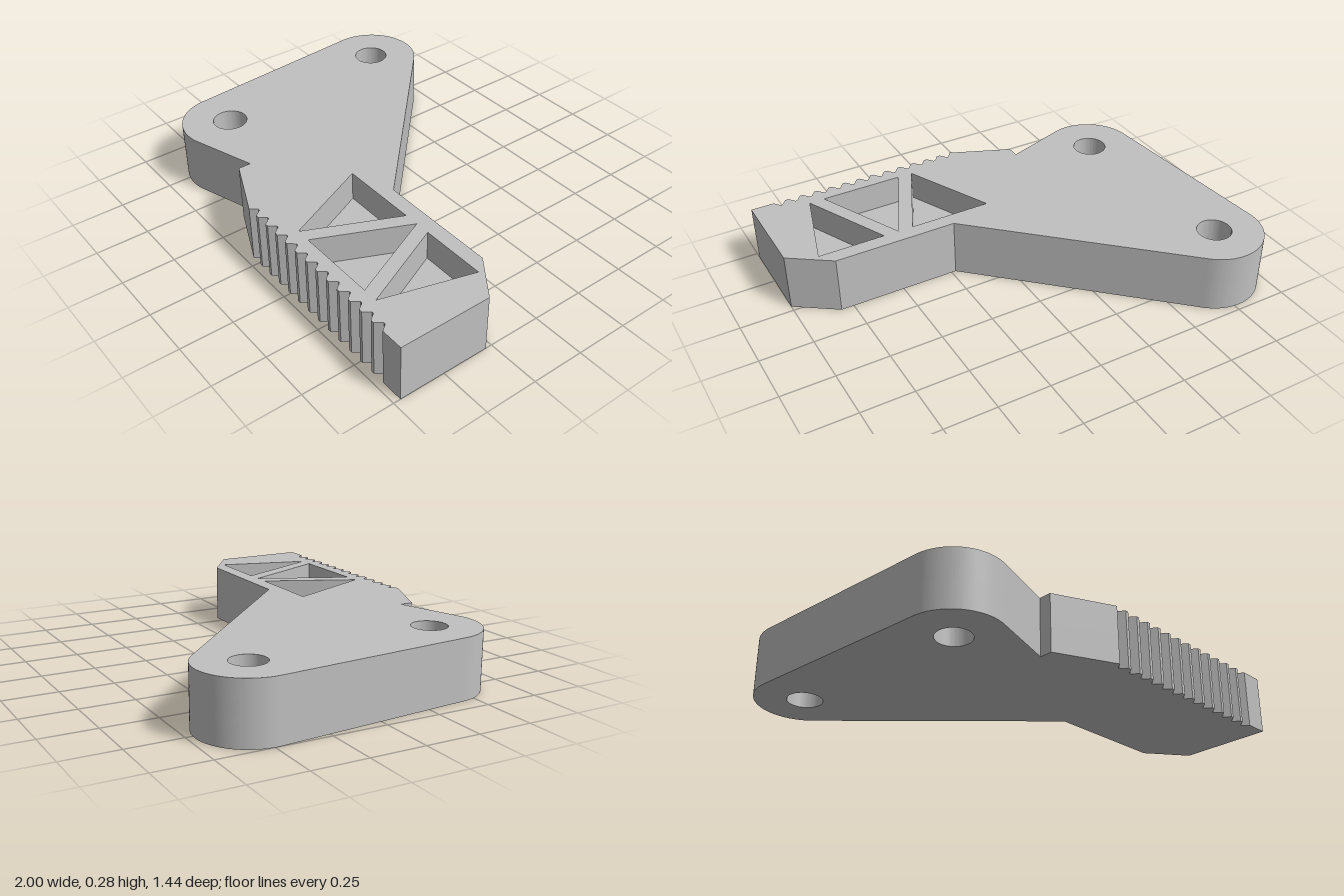
import * as THREE from 'three';
import { toCreasedNormals } from 'three/addons/utils/BufferGeometryUtils.js';

const HEIGHT = 0.275;
const POCKET_DEPTH = 0.14;

// Plan outline and through holes, drawn in x and z (shape y = -z)
function createPlan() {
  const plan = new THREE.Shape();
  const leftTangent = Math.PI + 0.087;
  plan.absarc(-0.772, 0.492, 0.228, 0.807, leftTangent, false);
  plan.absarc(-0.695, -0.42, 0.225, leftTangent, 2 * Math.PI - 1.245, false);
  const to = (x, z) => plan.lineTo(x, -z);
  to(-0.325, 0.535);
  to(-0.325, 0.595);
  // Row of notches along the gripping edge
  for (let i = 0; i < 13; i++) {
    const x = -0.042 + i * 0.073;
    to(x, 0.717);
    to(x + 0.025, 0.686);
    to(x + 0.033, 0.686);
    to(x + 0.057, 0.717);
  }
  to(1, 0.717);
  to(1, 0.28);
  to(0.81, 0.145);
  to(0.23, 0.145);
  plan.closePath();

  for (const [x, z] of [[-0.775, -0.493], [-0.693, 0.418]]) {
    plan.holes.push(new THREE.Path().absarc(x, -z, 0.08, 0, 2 * Math.PI, true));
  }
  return plan;
}

// Triangular pockets sunk into the upper face
const POCKETS = [
  [[0.02, 0.215], [0.405, 0.215], [0.212, 0.635]],
  [[0.283, 0.635], [0.67, 0.635], [0.476, 0.215]],
  [[0.548, 0.215], [0.863, 0.215], [0.742, 0.635]],
];

function createLayer(name, plan, bottom, depth, material) {
  const geometry = new THREE.ExtrudeGeometry(plan, { depth, bevelEnabled: false, curveSegments: 32 });
  geometry.rotateX(-Math.PI / 2).translate(0, bottom, 0);
  const mesh = new THREE.Mesh(toCreasedNormals(geometry, 0.4), material);
  mesh.name = name;
  return mesh;
}

export function createModel() {
  const grey = new THREE.MeshStandardMaterial({ color: 0xc0c0c0 });
  grey.name = 'light grey';

  const upperPlan = createPlan();
  for (const corners of POCKETS) {
    upperPlan.holes.push(new THREE.Path(corners.map(([x, z]) => new THREE.Vector2(x, -z))));
  }

  const model = new THREE.Group();
  model.name = 'notchedLeverPlate';
  const floor = HEIGHT - POCKET_DEPTH;
  model.add(
    createLayer('lowerPlate', createPlan(), 0, floor, grey),
    createLayer('pocketedUpperPlate', upperPlan, floor, POCKET_DEPTH, grey),
  );
  return model;
}
